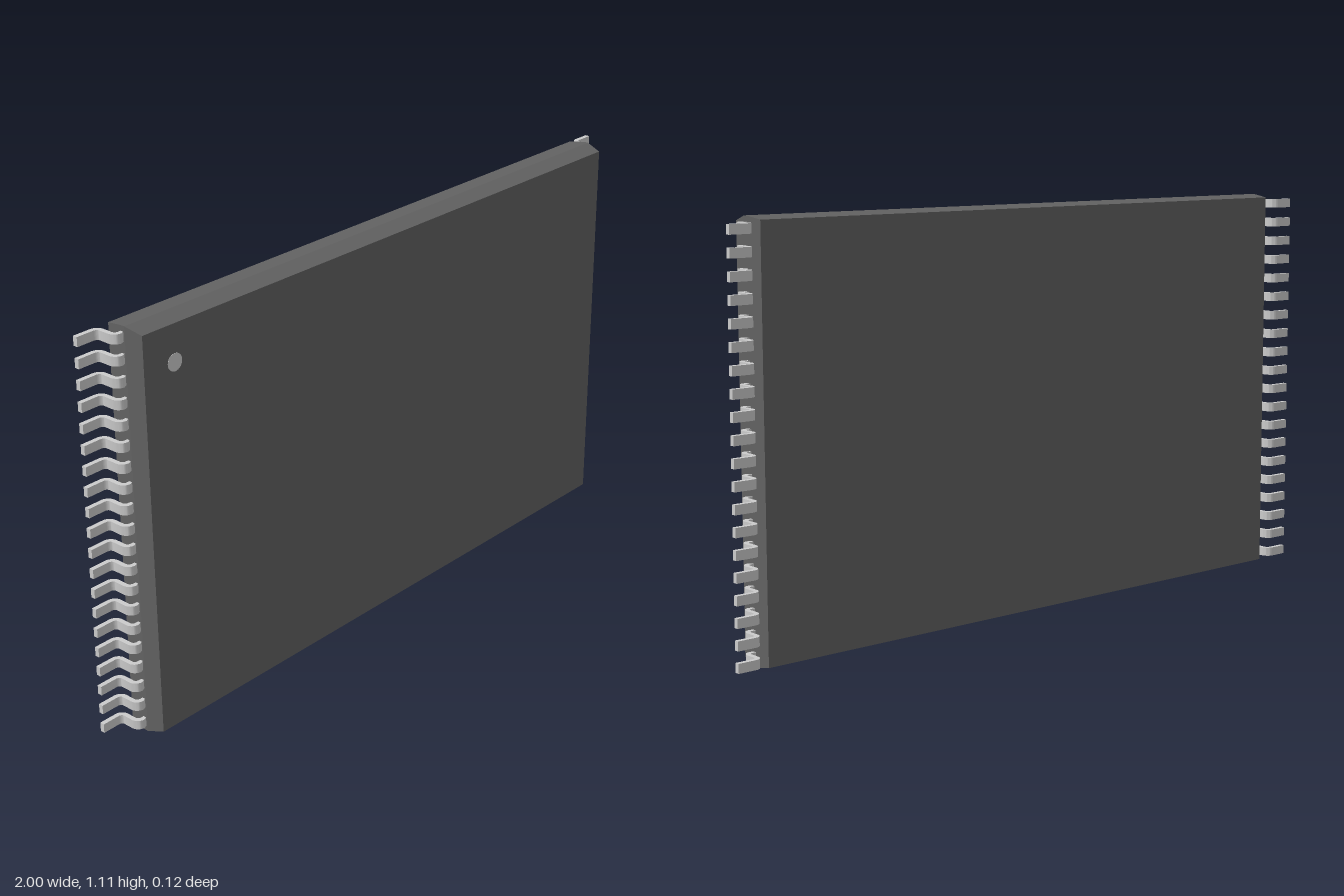
import * as THREE from 'three';
import { toCreasedNormals } from 'three/addons/utils/BufferGeometryUtils.js';

const MID_Y = 0.556;
const LEADS = 20, PITCH = 0.0557, LEAD_WIDTH = 0.025;

// Body: a box in three depth bands, tapering to the front and back faces
function bodyGeometry() {
  const rings = [ // z, half width, half height
    [-0.048, 0.903, 0.548],
    [0, 0.908, 0.556],
    [0.013, 0.908, 0.556],
    [0.061, 0.898, 0.542],
  ];
  const geo = new THREE.BoxGeometry(1, 1, 1, 1, 1, 3);
  const p = geo.attributes.position;
  for (let i = 0; i < p.count; i++) {
    const [z, w, h] = rings[Math.round((p.getZ(i) + 0.5) * 3)];
    p.setXYZ(i, Math.sign(p.getX(i)) * w, Math.sign(p.getY(i)) * h, z);
  }
  return toCreasedNormals(geo, 0.05);
}

// Gull-wing lead: S-shaped strip in x and z, extruded along y
function leadGeometry() {
  const h = 0.0065, r = 0.016, riser = 0.933, top = 0.0065, foot = -0.054;
  const ax = riser - r, az = top - r, bx = riser + r, bz = foot + r;
  const s = new THREE.Shape();
  s.moveTo(0.89, top + h);
  s.absarc(ax, az, r + h, Math.PI / 2, 0, true);
  s.absarc(bx, bz, r - h, Math.PI, Math.PI * 1.5, false);
  s.lineTo(1, foot + h);
  s.lineTo(1, foot - h);
  s.absarc(bx, bz, r + h, Math.PI * 1.5, Math.PI, true);
  s.absarc(ax, az, r - h, 0, Math.PI / 2, false);
  s.lineTo(0.89, top - h);
  s.closePath();
  const geo = new THREE.ExtrudeGeometry(s, { depth: LEAD_WIDTH, bevelEnabled: false, curveSegments: 6 });
  geo.translate(0, 0, -LEAD_WIDTH / 2);
  geo.rotateX(Math.PI / 2);
  return toCreasedNormals(geo, 0.6);
}

export function createModel() {
  const model = new THREE.Group();
  model.name = 'chipPackage';
  const dark = new THREE.MeshStandardMaterial({ color: 0x626262 });
  const metal = new THREE.MeshStandardMaterial({ color: 0xcccccc });

  const body = new THREE.Mesh(bodyGeometry(), dark);
  body.name = 'body';
  body.position.y = MID_Y;
  model.add(body);

  // First-pin marker on the front face
  const marker = new THREE.Mesh(new THREE.CylinderGeometry(0.023, 0.023, 0.002, 32), metal);
  marker.name = 'pinMarker';
  marker.rotation.x = Math.PI / 2;
  marker.position.set(-0.8, 1.0, 0.0608);
  model.add(marker);

  // Two rows of leads; the right row is the left row turned half round
  const geo = leadGeometry();
  for (const side of ['left', 'right']) {
    const row = new THREE.Group();
    row.name = side + 'Leads';
    row.position.y = MID_Y;
    if (side === 'right') row.rotation.z = Math.PI;
    for (let i = 0; i < LEADS; i++) {
      const lead = new THREE.Mesh(geo, metal);
      lead.name = 'lead';
      lead.position.y = (i - (LEADS - 1) / 2) * PITCH;
      row.add(lead);
    }
    model.add(row);
  }
  return model;
}
